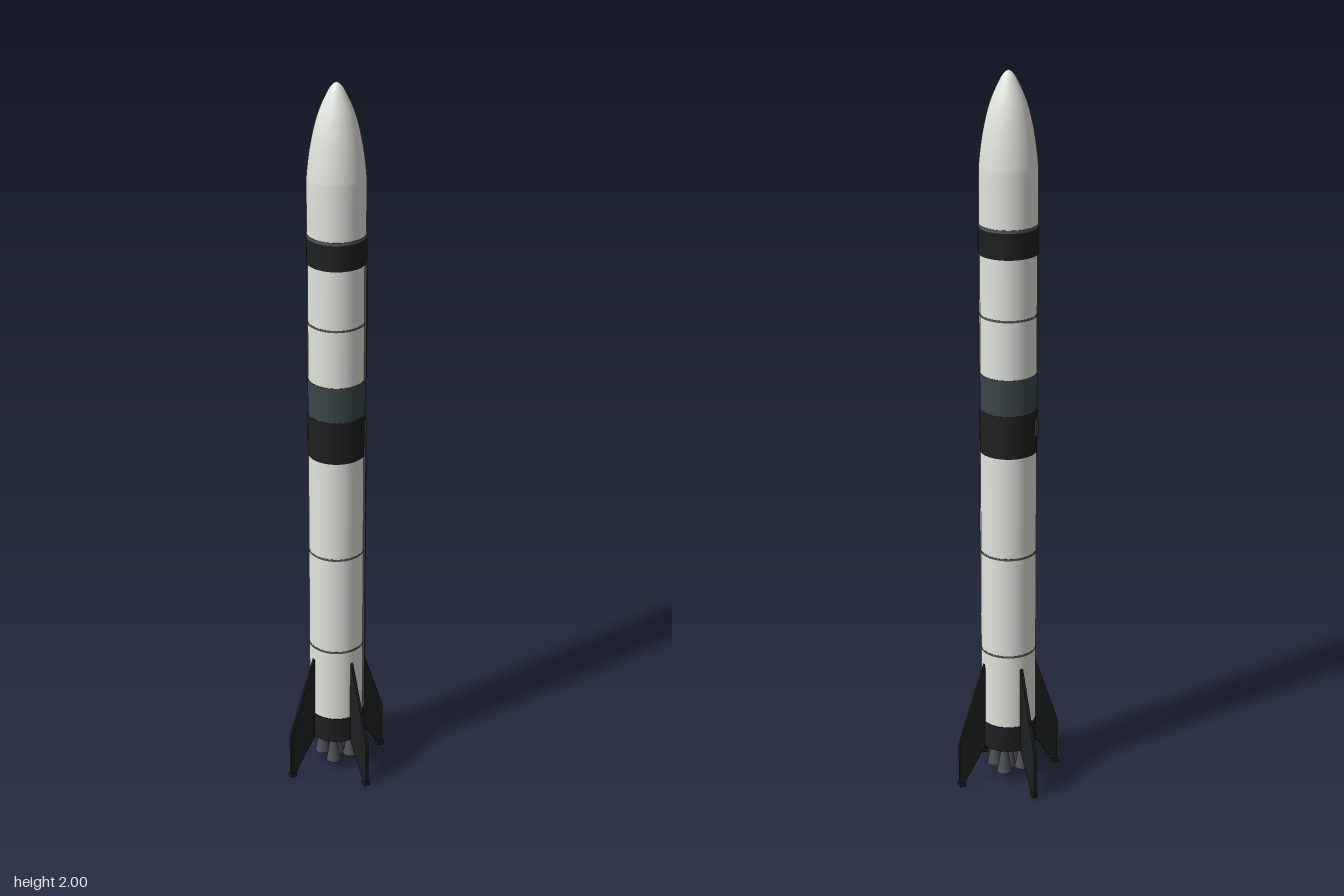
import * as THREE from 'three';

const mat = (name, color) => {
  const m = new THREE.MeshStandardMaterial({ color });
  m.name = name;
  return m;
};

export function createModel() {
  const white = mat('white paint', 0xe2e4de);
  const black = mat('black paint', 0x1e1f20);
  const slate = mat('slate interstage', 0x3a4648);
  const seam = mat('seam grey', 0x55585a);
  const conduit = mat('conduit grey', 0x474c55);
  const metal = mat('nozzle metal', 0x4c5052);
  metal.side = THREE.DoubleSide;

  const rocket = new THREE.Group();
  rocket.name = 'rocket';
  const add = (name, geo, material, parent = rocket) => {
    const mesh = new THREE.Mesh(geo, material);
    mesh.name = name;
    parent.add(mesh);
    return mesh;
  };
  // Upright cylinder between two heights
  const section = (name, y0, y1, r, material) => {
    const mesh = add(name, new THREE.CylinderGeometry(r, r, y1 - y0, 64), material);
    mesh.position.y = (y0 + y1) / 2;
    return mesh;
  };

  // Stages and painted bands
  section('engineSkirt', 0.11, 0.185, 0.0765, black);
  section('firstStage', 0.185, 0.98, 0.075, white);
  section('firstStageBand', 0.98, 1.1, 0.0765, black);
  section('interstage', 1.1, 1.2, 0.076, slate);
  section('secondStage', 1.2, 1.525, 0.075, white);
  section('secondStageBand', 1.525, 1.598, 0.0775, black);
  section('fairingFlange', 1.596, 1.604, 0.0785, seam);
  for (const y of [0.4, 0.69, 1.36]) section('seamRing', y - 0.003, y + 0.003, 0.0756, seam);

  // Nose fairing: straight base and pointed ogive
  const profile = [new THREE.Vector2(0.0768, 1.602), new THREE.Vector2(0.0768, 1.68)];
  const ogive = new THREE.SplineCurve([
    [0.0768, 1.75], [0.0705, 1.81], [0.06, 1.87], [0.045, 1.925], [0.023, 1.975], [0.01, 1.994], [0, 2],
  ].map(([r, y]) => new THREE.Vector2(r, y)));
  profile.push(...ogive.getPoints(30));
  profile[profile.length - 1].x = 0;
  add('noseFairing', new THREE.LatheGeometry(profile, 64), white);

  // Cable conduits on the left side, small hatch on the other
  for (const [y0, y1] of [[0.19, 1.08], [1.205, 1.59]]) {
    const strip = add('cableConduit', new THREE.BoxGeometry(0.009, y1 - y0, 0.012), conduit);
    strip.position.set(0.0755, (y0 + y1) / 2, 0);
  }
  const hatch = add('accessHatch', new THREE.BoxGeometry(0.008, 0.045, 0.024), slate);
  hatch.position.set(-0.0755, 1.05, 0);

  // Four diagonal fins with a small foot at each tip
  const finShape = new THREE.Shape([
    [0.068, 0.12], [0.146, 0], [0.155, 0], [0.155, 0.135], [0.077, 0.36], [0.068, 0.36],
  ].map(([x, y]) => new THREE.Vector2(x, y)));
  const finGeo = new THREE.ExtrudeGeometry(finShape, { depth: 0.008, bevelEnabled: false });
  finGeo.translate(0, 0, -0.004);
  const footGeo = new THREE.BoxGeometry(0.018, 0.012, 0.016);
  footGeo.translate(0.148, 0.006, 0);
  for (let i = 0; i < 4; i++) {
    const fin = new THREE.Group();
    fin.name = 'fin';
    add('finPlate', finGeo, black, fin);
    add('finFoot', footGeo, black, fin);
    fin.rotation.y = Math.PI / 4 + (i * Math.PI) / 2;
    rocket.add(fin);
  }

  // Engine cluster: one central bell and four around it
  const bell = new THREE.LatheGeometry([
    [0.010, 0.112], [0.010, 0.095], [0.013, 0.075], [0.017, 0.05], [0.021, 0.03],
  ].map(([r, y]) => new THREE.Vector2(r, y)).reverse(), 32);
  for (const [x, z] of [[0, 0], [1, 0], [-1, 0], [0, 1], [0, -1]]) {
    add('engineNozzle', bell, metal).position.set(x * 0.04, 0, z * 0.04);
  }

  return rocket;
}
